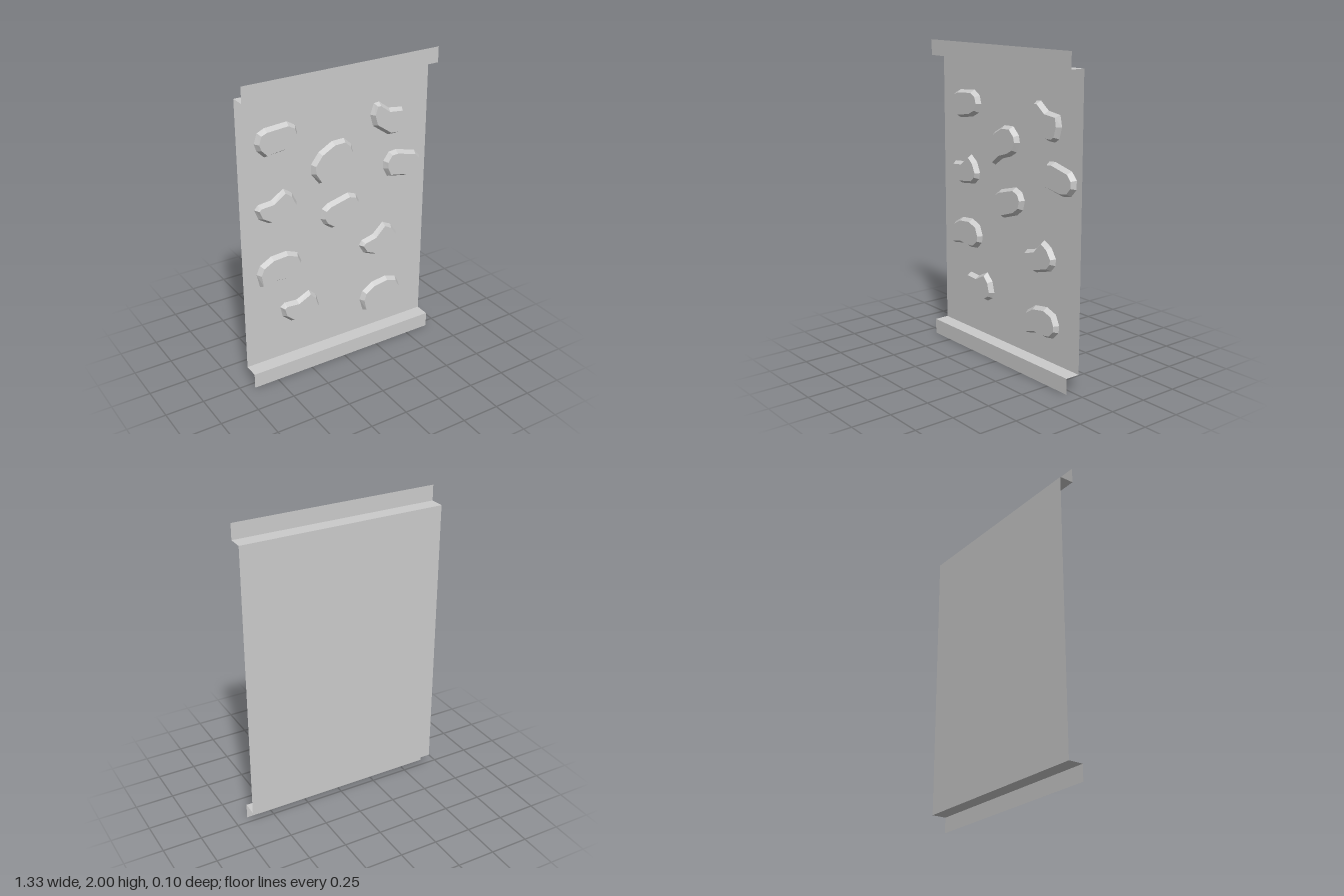
import * as THREE from 'three';

const U = 0.01 / 1.89;        // outline unit: outlines below are drawn on a fine grid
const HALF_W = 0.665, HALF_D = 0.048, LIP = 0.1, HEIGHT = 2;
const HOLD_FRONT = -0.017;    // z of the flat faces of the holds
const INSET = 3.7;            // how far the face is drawn in from the base outline

// Clockwise outlines of the three hold types
const OUTLINES = {
  bean: [[-24.5, -21], [-29.5, -4], [-25.5, 7], [-11.5, 16], [8.5, 19], [23.5, 14],
    [29.5, 2], [28.5, -7], [19.5, -16], [7.5, -18], [-8.5, -17]],
  horn: [[-27, -2], [-23, 4], [-7, 8], [7, 21], [19, 15], [27, 3],
    [26, -5], [19, -13], [-6, -20], [-20, -14]],
  pebble: [[-27, 0], [-23, 12], [-14, 16], [14, 18], [24, 12], [27, 2],
    [22, -9], [10, -15], [-15, -18], [-24, -9]],
};

// Type, x, y, rotation in degrees
const HOLDS = [
  ['pebble', -0.41, 1.603, 0],
  ['pebble', 0.024, 1.03, 10],
  ['pebble', 0.48, 1.243, -18],
  ['bean', 0.333, 0.344, 0],
  ['bean', -0.415, 0.757, -4],
  ['bean', -0.04, 1.397, 20],
  ['horn', 0.31, 0.746, 0],
  ['horn', -0.426, 1.175, -9],
  ['horn', -0.278, 0.43, -18],
  ['horn', 0.365, 1.582, -51],
];

// Tapered slab: sloping wall from the base outline to a smaller flat face
function holdGeometry(outline) {
  const base = outline.map(([x, y]) => new THREE.Vector2(x, y)).reverse();
  const n = base.length;
  const face = base.map((p, i) => {
    const t = base[(i + 1) % n].clone().sub(p).normalize()
      .add(p.clone().sub(base[(i + n - 1) % n]).normalize()).normalize();
    return new THREE.Vector2(p.x - t.y * INSET, p.y + t.x * INSET);
  });
  const pos = [];
  const add = (p, z) => pos.push(p.x * U, p.y * U, z);
  const top = HOLD_FRONT + HALF_D;
  for (let i = 0; i < n; i++) {
    const j = (i + 1) % n;
    add(base[i], 0); add(base[j], 0); add(face[j], top);
    add(base[i], 0); add(face[j], top); add(face[i], top);
  }
  for (const tri of THREE.ShapeUtils.triangulateShape(face, [])) {
    tri.forEach((k) => add(face[k], top));
  }
  const g = new THREE.BufferGeometry();
  g.setAttribute('position', new THREE.Float32BufferAttribute(pos, 3));
  g.computeVertexNormals();
  return g;
}

export function createModel() {
  const model = new THREE.Group();
  model.name = 'climbingPanel';
  const sheetMat = new THREE.MeshStandardMaterial({ color: 0xcccccc, side: THREE.DoubleSide });
  const holdMat = new THREE.MeshStandardMaterial({ color: 0xcccccc, flatShading: true, side: THREE.DoubleSide });

  // Thin sheet spanning the full width
  const sheet = (name, size, y, z, tilt = 0) => {
    const mesh = new THREE.Mesh(new THREE.PlaneGeometry(2 * HALF_W, size), sheetMat);
    mesh.name = name;
    mesh.position.set(0, y, z);
    mesh.rotation.x = tilt;
    model.add(mesh);
  };
  sheet('wallSheet', HEIGHT - 2 * LIP, HEIGHT / 2, -HALF_D);

  // Folded edges: a shelf coming forward, then an upright lip
  sheet('topShelf', 2 * HALF_D, HEIGHT - LIP, 0, -Math.PI / 2);
  sheet('topLip', LIP, HEIGHT - LIP / 2, HALF_D);
  sheet('bottomShelf', 2 * HALF_D, LIP, 0, -Math.PI / 2);
  sheet('bottomLip', LIP, LIP / 2, HALF_D);

  // Climbing holds on the front of the wall
  const holds = new THREE.Group();
  holds.name = 'holds';
  const geometries = {};
  for (const type in OUTLINES) geometries[type] = holdGeometry(OUTLINES[type]);
  HOLDS.forEach(([type, x, y, angle]) => {
    const mesh = new THREE.Mesh(geometries[type], holdMat);
    mesh.name = type + 'Hold';
    mesh.position.set(x, y, -HALF_D);
    mesh.rotation.z = THREE.MathUtils.degToRad(angle);
    holds.add(mesh);
  });
  model.add(holds);
  return model;
}
